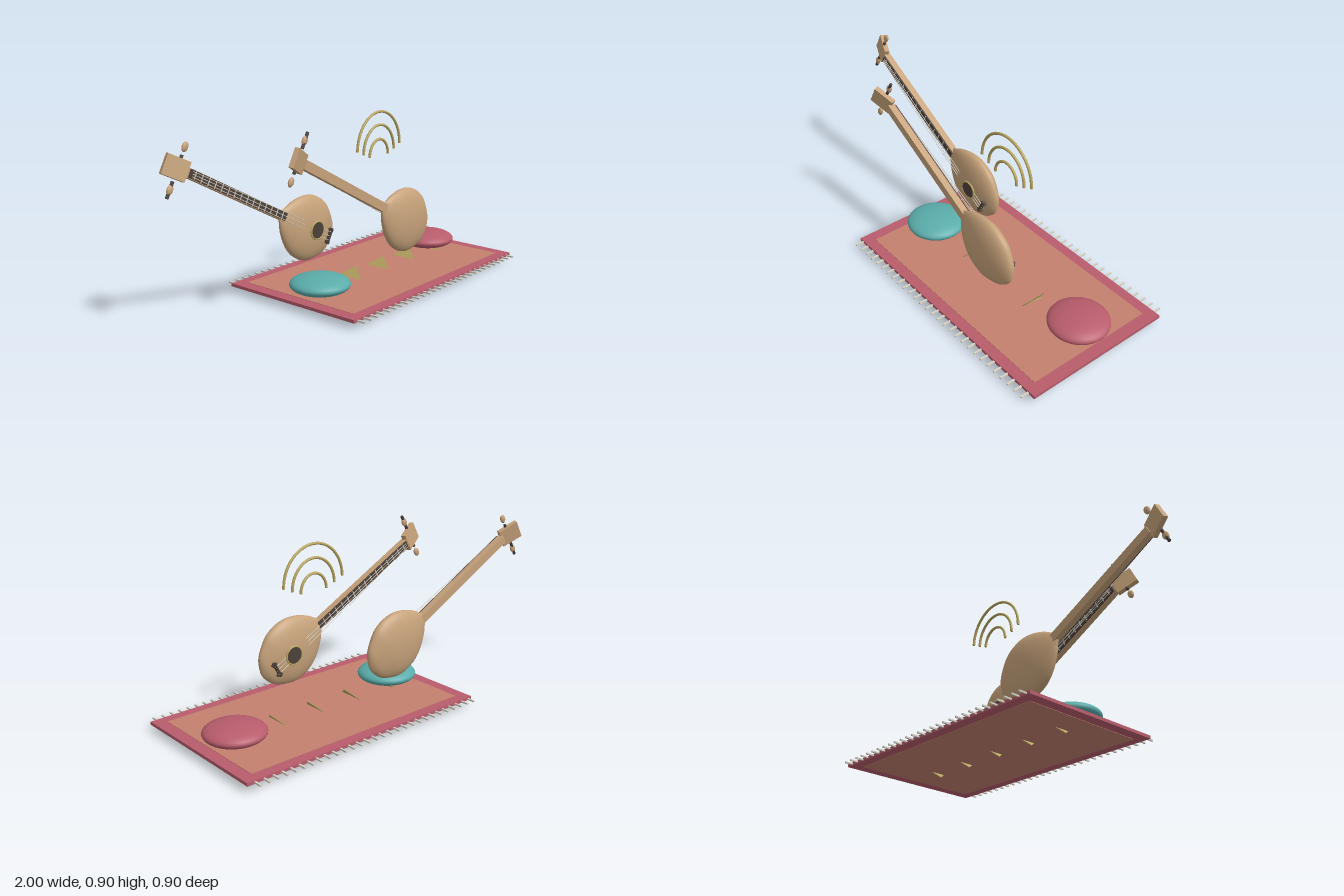
import * as THREE from 'three';

const material = (name, color) => Object.assign(new THREE.MeshStandardMaterial({ color }), { name });

export function createModel() {
  const wood = material('wood', 0xc6a27a);
  const dark = material('dark wood', 0x4c403a);
  const gold = material('gold', 0xbba762);
  const cream = material('cream', 0xd8d2c4);
  const rose = material('rose', 0xb85c6c);
  const clay = material('clay', 0xc3806e);
  const teal = material('teal', 0x5aacaa);

  const model = new THREE.Group();
  const add = (parent, name, geometry, mat, x = 0, y = 0, z = 0) => {
    const mesh = new THREE.Mesh(geometry, mat);
    mesh.name = name;
    mesh.position.set(x, y, z);
    parent.add(mesh);
    return mesh;
  };
  const box = (w, h, d) => new THREE.BoxGeometry(w, h, d);

  // Rug with an inset panel and fringed long sides
  const rug = new THREE.Group();
  rug.name = 'rug';
  model.add(rug);
  add(rug, 'rugBorder', box(1.385, 0.016, 0.81), rose, 0.3075, 0.042, 0);
  add(rug, 'rugPanel', box(1.265, 0.02, 0.7), clay, 0.3075, 0.042, 0);
  const tassels = 29;
  for (let i = 0; i < tassels; i++) {
    const x = -0.36 + (1.32 * i) / (tassels - 1);
    for (const side of [-1, 1]) add(rug, 'fringe', box(0.009, 0.008, 0.045), cream, x, 0.042, side * 0.426);
  }

  // Slanted diamonds set through the rug
  for (let i = -2; i <= 2; i++) {
    const diamond = add(rug, 'diamond', new THREE.CylinderGeometry(0.07, 0.07, 0.004, 4), gold, 0.3075 + i * 0.2325, 0.053, 0);
    diamond.rotation.z = Math.PI / 4;
  }

  // Cushions
  const cushion = (name, mat, x, z) =>
    add(model, name, new THREE.SphereGeometry(0.153, 40, 24).scale(1, 0.315, 1), mat, x, 0.098, z);
  cushion('tealCushion', teal, -0.203, 0.037);
  cushion('roseCushion', rose, 0.813, -0.04);

  // Sound wave arches
  for (const [halfWidth, base, height] of [[0.077, 0.66, 0.087], [0.127, 0.68, 0.142], [0.177, 0.703, 0.188]]) {
    const points = [];
    for (let i = 0; i <= 24; i++) {
      const a = (Math.PI * i) / 24;
      points.push(new THREE.Vector3(-Math.cos(a) * halfWidth, Math.sin(a) * height, 0));
    }
    const arch = new THREE.Group();
    arch.name = 'soundWave';
    arch.position.set(0.3075, base, 0);
    model.add(arch);
    add(arch, 'arch', new THREE.TubeGeometry(new THREE.CatmullRomCurve3(points), 48, 0.007, 10), gold);
    for (const s of [-1, 1]) add(arch, 'archEnd', new THREE.CircleGeometry(0.007, 10).rotateX(Math.PI / 2), gold, s * halfWidth);
  }

  // Lute: local x runs from the head to the tail, z is the playing side
  const profile = new THREE.SplineCurve([
    [0, -0.226], [0.02, -0.222], [0.047, -0.203], [0.086, -0.172], [0.13, -0.12], [0.16, -0.06], [0.168, 0],
    [0.162, 0.05], [0.143, 0.093], [0.092, 0.157], [0.035, 0.186], [0, 0.193],
  ].map(([r, u]) => new THREE.Vector2(r, u))).getPoints(44);
  profile.forEach((p) => { p.x = Math.max(p.x, 0); });

  function makeLute(name, x, z, roll) {
    const lute = new THREE.Group();
    lute.name = name;
    lute.position.set(x, 0.33, z);
    lute.rotation.set(roll, 0, THREE.MathUtils.degToRad(-28), 'ZYX');
    model.add(lute);

    add(lute, 'body', new THREE.LatheGeometry(profile, 48).rotateZ(-Math.PI / 2).scale(1, 1, 0.343), wood);
    add(lute, 'neck', box(0.7, 0.045, 0.034), wood, -0.54, 0, 0.001);
    add(lute, 'fingerboard', box(0.68, 0.04, 0.007), dark, -0.54, 0, 0.0215);
    for (let i = 0; i < 15; i++) add(lute, 'fret', box(0.004, 0.04, 0.003), cream, -0.85 + i * 0.044, 0, 0.026);

    // Sound hole with its ring, and the bridge
    add(lute, 'soundHole', new THREE.CylinderGeometry(0.045, 0.045, 0.012, 32).rotateX(Math.PI / 2), dark, 0.015, 0, 0.055);
    add(lute, 'soundHoleRing', new THREE.TorusGeometry(0.046, 0.005, 8, 36), gold, 0.015, 0, 0.058);
    add(lute, 'bridge', box(0.012, 0.085, 0.018), dark, 0.127, 0, 0.049);
    for (const s of [-1, 1]) add(lute, 'bridgeFoot', box(0.028, 0.01, 0.016), dark, 0.127, s * 0.032, 0.046);

    // Strings rise from the nut to the bridge
    for (const s of [-1, 0, 1]) {
      const path = new THREE.LineCurve3(new THREE.Vector3(-0.87, s * 0.012, 0.028), new THREE.Vector3(0.135, s * 0.022, 0.056));
      add(lute, 'string', new THREE.TubeGeometry(path, 1, 0.0018, 6), cream);
    }

    // Tilted head with a tuning peg on each side
    add(lute, 'head', box(0.115, 0.095, 0.026), wood, -0.94, 0, -0.011).rotation.y = -0.34;
    for (const [side, shaftAt] of [[-1, -0.1], [1, 0.022]]) {
      add(lute, 'pegShaft', new THREE.CylinderGeometry(0.008, 0.008, 0.08, 12), dark, -0.935, shaftAt, -0.004);
      add(lute, 'pegKnob', new THREE.SphereGeometry(0.024, 20, 14).scale(0.7, 1, 0.42), wood, -0.935, side * 0.1, -0.003);
    }
  }
  makeLute('backLute', -0.095, -0.143, 0);
  makeLute('frontLute', 0.355, 0.143, Math.PI);

  return model;
}
